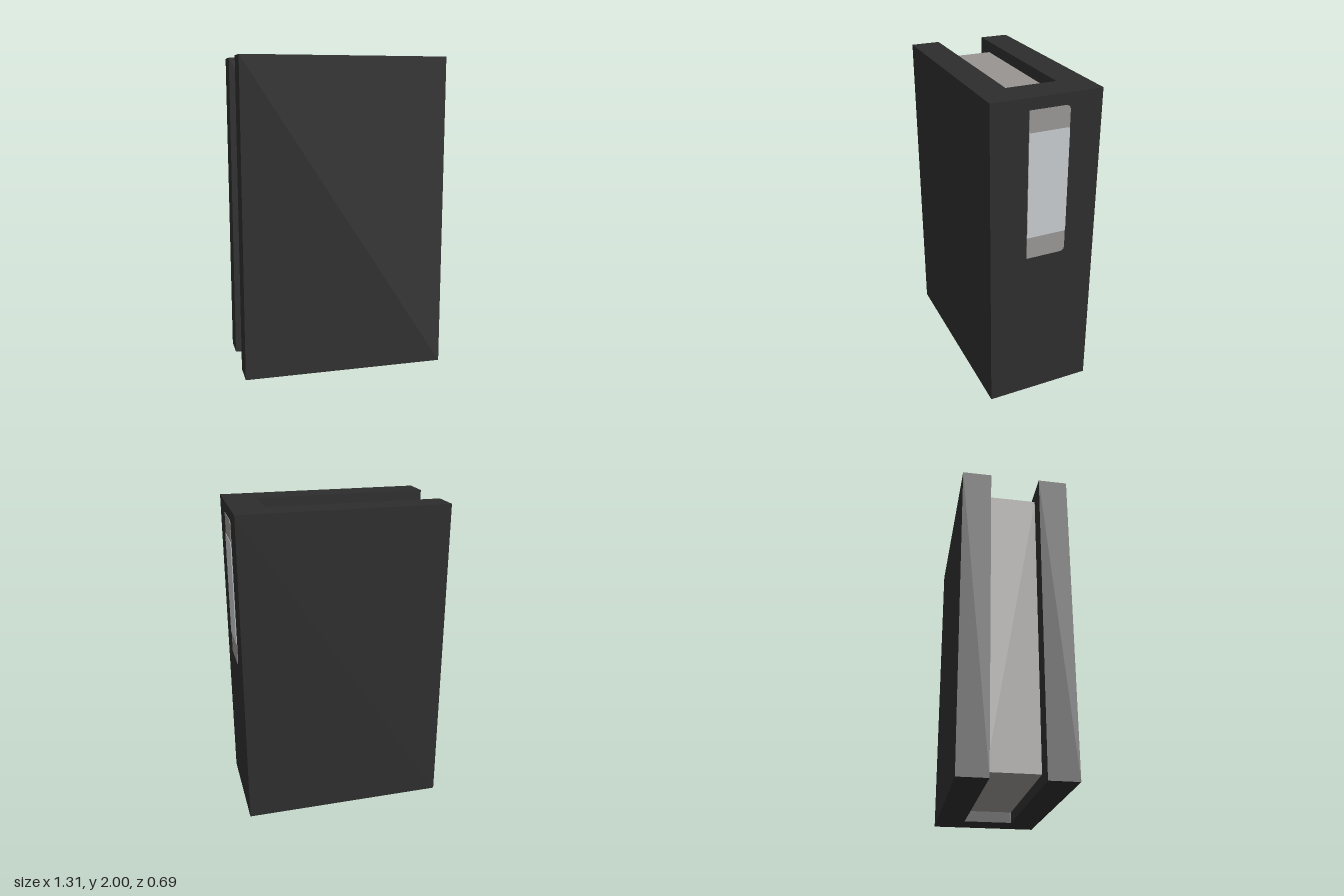
import * as THREE from 'three';

const coverMat = new THREE.MeshStandardMaterial({ color: 0x2d2d2d });
coverMat.name = 'charcoal';
const pageMat = new THREE.MeshStandardMaterial({ color: 0x979492 });
pageMat.name = 'warmGrey';
const paleMat = new THREE.MeshStandardMaterial({ color: 0xc5c8ca });
paleMat.name = 'paleGrey';

// Extrudes an outline without bevel
function extrude(shape, depth) {
  return new THREE.ExtrudeGeometry(shape, { depth, bevelEnabled: false, curveSegments: 4 });
}

function outline(points) {
  return new THREE.Shape(points.map(([x, y]) => new THREE.Vector2(x, y)));
}

// Upright plate on the spine, with its rear corners rounded
function spinePlate(y0, y1, r, thickness) {
  const a = -0.11, b = 0.14;
  const s = new THREE.Shape();
  s.moveTo(a, y0);
  s.lineTo(b - r, y0);
  s.quadraticCurveTo(b, y0, b, y0 + r);
  s.lineTo(b, y1 - r);
  s.quadraticCurveTo(b, y1, b - r, y1);
  s.lineTo(a, y1);
  s.closePath();
  return extrude(s, thickness).rotateY(Math.PI / 2).translate(0.65, 0, 0);
}

export function createModel() {
  const book = new THREE.Group();
  book.name = 'book';

  function add(name, geometry, material) {
    const mesh = new THREE.Mesh(geometry, material);
    mesh.name = name;
    book.add(mesh);
  }

  // U-shaped cover: two thick boards joined by the spine
  const cover = outline([
    [-0.65, -0.34], [0.65, -0.34], [0.65, 0.34], [-0.65, 0.34],
    [-0.65, 0.157], [0.445, 0.157], [0.445, -0.157], [-0.65, -0.157],
  ]);
  add('cover', extrude(cover, 2).rotateX(-Math.PI / 2), coverMat);

  // Page block, set back from the cover edges
  const top = 1.93, bottom = 0.07;
  const pages = new THREE.BoxGeometry(0.96, top - bottom, 0.314);
  add('pages', pages.translate(-0.035, (top + bottom) / 2, 0), pageMat);

  // Pale streak on the top edge of the pages
  const streak = outline([
    [-0.06, -0.09], [0.1, -0.1], [0.39, -0.12], [0.445, -0.15],
    [0.445, -0.045], [0.2, -0.075],
  ]);
  add('pageStreak', extrude(streak, 0.003).rotateX(-Math.PI / 2).translate(0, top, 0), paleMat);

  // Spine label with a pale centre panel
  add('spineLabel', spinePlate(1.01, 1.93, 0.03, 0.003), pageMat);
  add('spineLabelPanel', spinePlate(1.15, 1.8, 0.01, 0.006), paleMat);

  // The book stands very slightly turned
  book.rotation.y = 0.009;
  const model = new THREE.Group();
  model.name = 'bookModel';
  model.add(book);
  return model;
}
